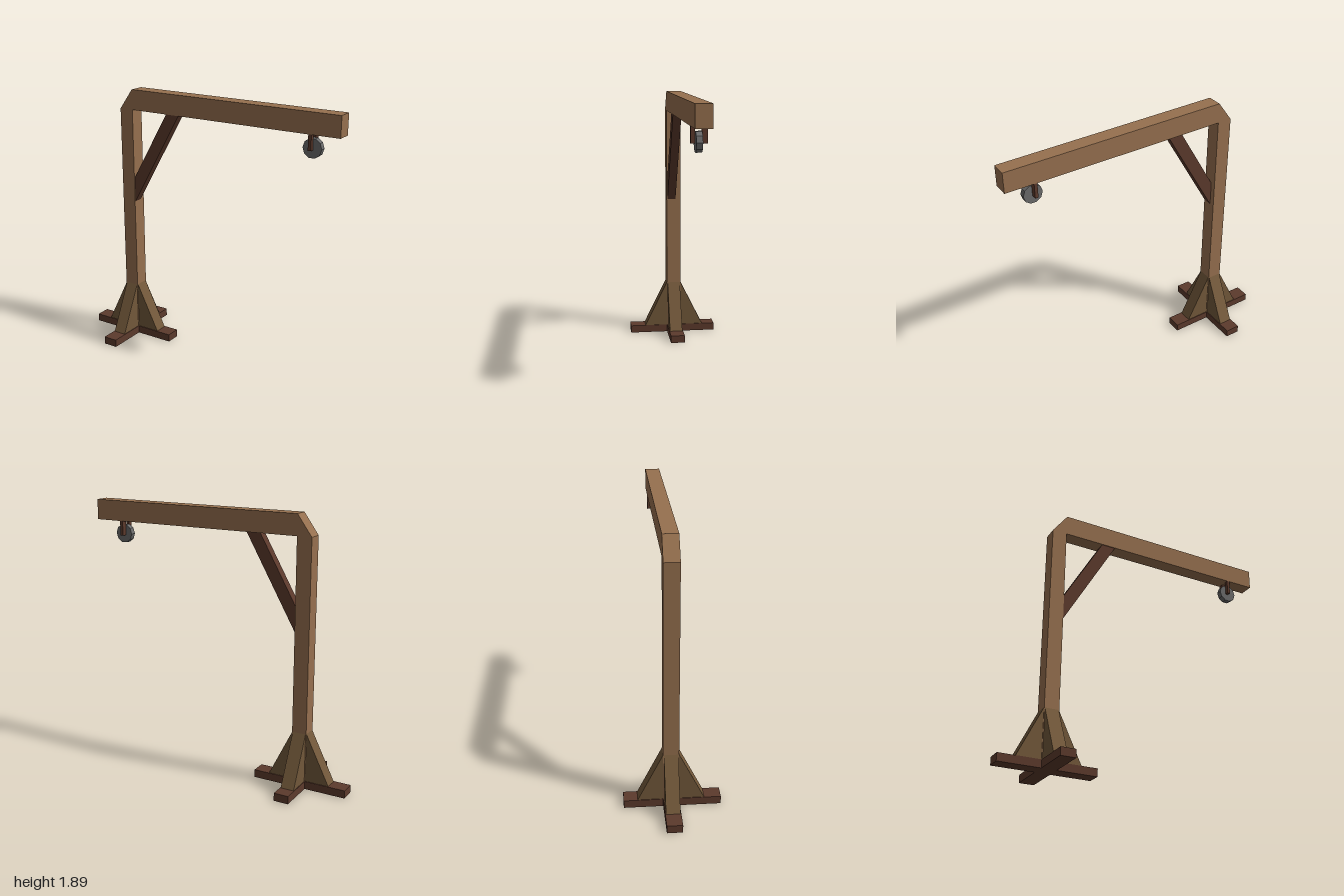
import * as THREE from 'three';

const material = (name, color) => {
  const m = new THREE.MeshStandardMaterial({ color });
  m.name = name;
  return m;
};

// Prism from an xy outline, extruded from z0 to z1
function prism(points, z0, z1) {
  const shape = new THREE.Shape(points.map(([x, y]) => new THREE.Vector2(x, y)));
  const geo = new THREE.ExtrudeGeometry(shape, { depth: z1 - z0, bevelEnabled: false });
  return geo.translate(0, 0, z0);
}

// Box given by its minimum and maximum corners
function block(x0, y0, z0, x1, y1, z1) {
  return new THREE.BoxGeometry(x1 - x0, y1 - y0, z1 - z0)
    .translate((x0 + x1) / 2, (y0 + y1) / 2, (z0 + z1) / 2);
}

export function createModel() {
  const model = new THREE.Group();
  model.name = 'woodenCrane';
  const lightWood = material('light wood', 0x96704f);
  const darkWood = material('dark wood', 0x5c3a2c);
  const oliveWood = material('olive wood', 0x72583a);
  const iron = material('iron', 0x6b6b6b);

  const add = (name, geo, mat) => {
    const mesh = new THREE.Mesh(geo, mat);
    mesh.name = name;
    model.add(mesh);
    return mesh;
  };

  const left = -0.705, right = -0.6, back = -0.063, front = 0.043;
  const footTop = 0.056, beamBottom = 1.75, beamTop = 1.895;

  // Post and beam with a chamfered corner
  add('postAndBeam', prism([
    [left, footTop], [right, footTop], [right, beamBottom], [1, beamBottom],
    [1, beamTop], [right, beamTop], [left, beamBottom],
  ], back, front), lightWood);

  // Crossed feet
  add('footAcross', block(-1, 0, back, -0.315, footTop, front), darkWood);
  add('footFront', block(left, 0, front, right, footTop, 0.33), darkWood);
  add('footBack', block(left, 0, -0.33, right, footTop, back), darkWood);

  // Four sloping buttresses around the post
  const buttress = prism([[0.05, footTop], [0.225, footTop], [0.0525, 0.405], [0.05, 0.405]], -0.048, 0.048);
  for (let i = 0; i < 4; i++) {
    const mesh = add('buttress', buttress, oliveWood);
    mesh.position.set((left + right) / 2, 0, (back + front) / 2);
    mesh.rotation.y = i * Math.PI / 2;
  }

  // Diagonal brace
  add('brace', prism([
    [right, 1.07], [-0.21, beamBottom], [-0.313, beamBottom], [right, 1.25],
  ], -0.025, 0.037), darkWood);

  // Pulley fork and wheel
  add('forkBack', block(0.78, 1.645, back, 0.802, beamBottom, -0.025), darkWood);
  add('forkFront', block(0.78, 1.645, 0.015, 0.802, beamBottom, front), darkWood);
  const wheel = new THREE.CylinderGeometry(0.067, 0.067, 0.04, 10).toNonIndexed();
  wheel.computeVertexNormals();
  wheel.rotateX(Math.PI / 2).rotateZ(Math.PI / 2).translate(0.797, 1.656, -0.005);
  add('pulleyWheel', wheel, iron);

  return model;
}
